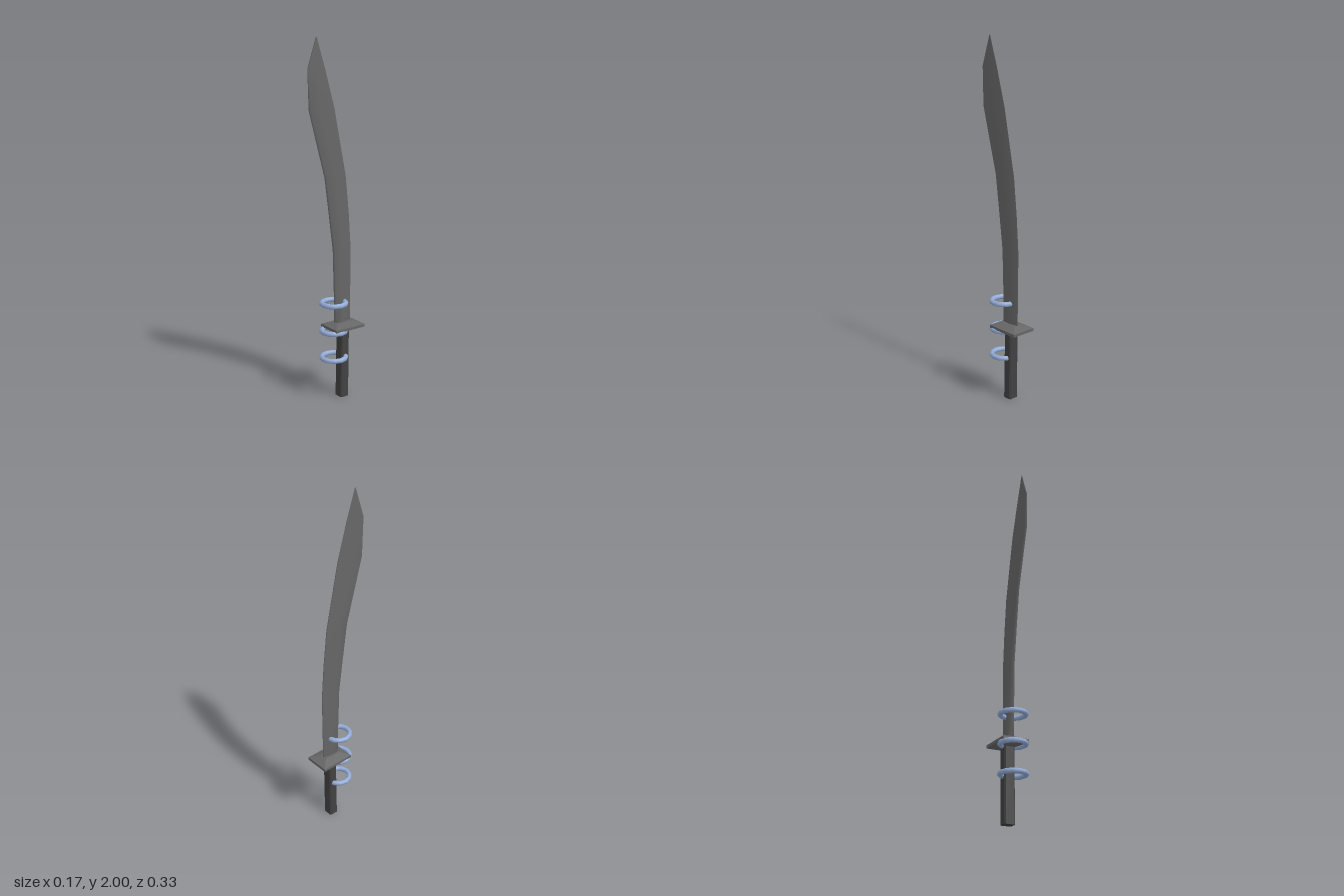
import * as THREE from 'three';

const steel = new THREE.MeshStandardMaterial({ color: 0x666666 });
steel.name = 'darkSteel';
const grip = new THREE.MeshStandardMaterial({ color: 0x414141 });
grip.name = 'blackGrip';
const blueSteel = new THREE.MeshStandardMaterial({ color: 0x93abd6 });
blueSteel.name = 'blueSteel';

// Skins a stack of closed sections (each running counter-clockwise seen from above) and caps both ends
function loft(sections, flat) {
  const n = sections[0].length;
  const last = (sections.length - 1) * n;
  const index = [];
  for (let s = 0; s < sections.length - 1; s++) {
    for (let i = 0; i < n; i++) {
      const a = s * n + i, b = s * n + (i + 1) % n;
      index.push(a, b, b + n, a, b + n, a + n);
    }
  }
  for (let i = 1; i < n - 1; i++) {
    index.push(0, i + 1, i, last, last + i, last + i + 1);
  }
  let geometry = new THREE.BufferGeometry();
  geometry.setAttribute('position', new THREE.Float32BufferAttribute(sections.flat(2), 3));
  geometry.setIndex(index);
  if (flat) geometry = geometry.toNonIndexed();
  geometry.computeVertexNormals();
  return geometry;
}

// Blunt spine at the front, swelling middle, thin edge at the back
function bladeSection([y, front, back, h]) {
  const mid = THREE.MathUtils.lerp(front, back, 0.4);
  return [
    [h * 0.7, y, front], [h, y, mid], [h * 0.25, y, back],
    [-h * 0.25, y, back], [-h, y, mid], [-h * 0.7, y, front],
  ];
}

// Rectangle with cut corners
function chamferedSection(y, halfX, front, back, c) {
  return [
    [halfX - c, y, front], [halfX, y, front - c], [halfX, y, back + c], [halfX - c, y, back],
    [c - halfX, y, back], [-halfX, y, back + c], [-halfX, y, front - c], [c - halfX, y, front],
  ];
}

function rectSection(y, halfX, front, back) {
  return [[halfX, y, front], [halfX, y, back], [-halfX, y, back], [-halfX, y, front]];
}

export function createModel() {
  const model = new THREE.Group();
  model.name = 'curvedSword';
  const add = (name, geometry, material) => {
    const mesh = new THREE.Mesh(geometry, material);
    mesh.name = name;
    model.add(mesh);
    return mesh;
  };

  // Blade: height, front z, back z, half thickness
  const blade = [
    [0.42, -0.01, -0.11, 0.014],
    [0.60, -0.008, -0.112, 0.014],
    [0.86, 0.0, -0.114, 0.0135],
    [1.06, 0.026, -0.1, 0.013],
    [1.27, 0.055, -0.078, 0.0125],
    [1.63, 0.155, -0.004, 0.011],
    [1.84, 0.164, 0.056, 0.006],
    [2.0, 0.112, 0.108, 0.002],
  ].map(bladeSection);
  add('blade', loft(blade, false), steel);

  // Guard: thin plate rising to a low pyramid around the blade
  add('guard', loft([
    rectSection(0.4, 0.03, -0.025, -0.1),
    rectSection(0.412, 0.073, 0.034, -0.163),
    rectSection(0.428, 0.073, 0.034, -0.163),
    rectSection(0.446, 0.024, -0.008, -0.114),
  ], true), steel);

  // Handle
  add('handle', loft([
    chamferedSection(0, 0.03, -0.03, -0.085, 0.007),
    chamferedSection(0.405, 0.03, -0.037, -0.089, 0.007),
  ], true), grip);

  // Three rings threaded along the sword
  const ringGeometry = new THREE.TorusGeometry(0.068, 0.0145, 8, 12).rotateX(-Math.PI / 2);
  [0.245, 0.403, 0.563].forEach((y, i) => {
    add(['lowerRing', 'middleRing', 'upperRing'][i], ringGeometry, blueSteel).position.y = y;
  });

  return model;
}
